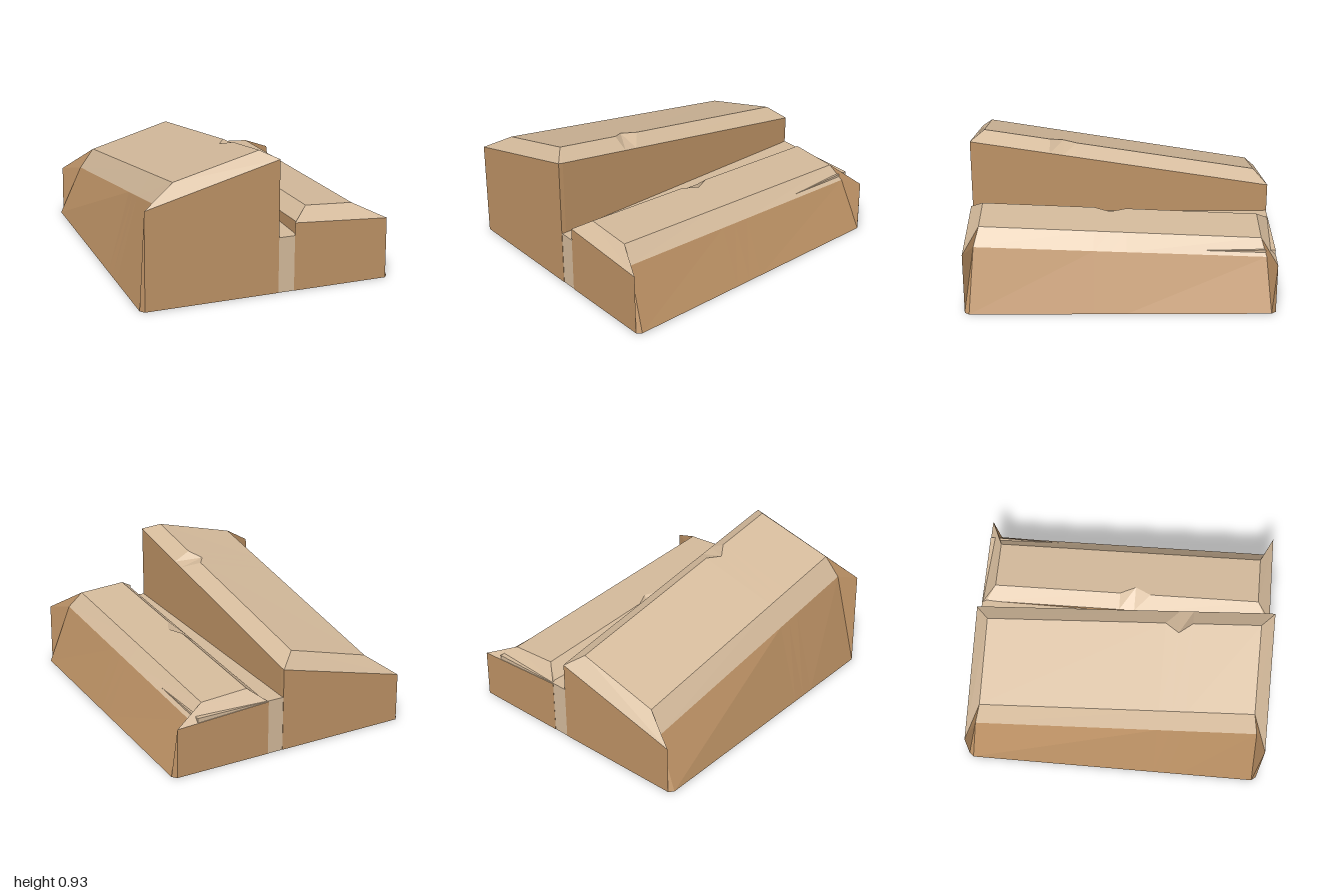
import * as THREE from 'three';

const sideMat = new THREE.MeshStandardMaterial({ name: 'brownSides', color: 0xbd9265 });
const topMat = new THREE.MeshStandardMaterial({ name: 'paleTops', color: 0xd4ba9b });
for (const m of [sideMat, topMat]) m.flatShading = true;

// value at z on a straight line given at z = s (front) and z = -s (back)
const slope = (front, back, s, z) => THREE.MathUtils.lerp(back, front, (z + s) / (2 * s));

// mesh from quads of Vector3, skipping collapsed triangles
function quadMesh(name, quads, material) {
  const pos = [];
  const tri = (a, b, c) => {
    const area = new THREE.Vector3().subVectors(b, a).cross(new THREE.Vector3().subVectors(c, a));
    if (area.length() > 1e-7) for (const p of [a, b, c]) pos.push(p.x, p.y, p.z);
  };
  for (const [a, b, c, d] of quads) { tri(a, b, c); tri(a, c, d); }
  const geo = new THREE.BufferGeometry();
  geo.setAttribute('position', new THREE.Float32BufferAttribute(pos, 3));
  geo.computeVertexNormals();
  const mesh = new THREE.Mesh(geo, material);
  mesh.name = name;
  return mesh;
}

// sloping slab: leaning outer wall, bevelled plateau, flared ends, chipped inner ridge
function slab(name, o) {
  const sg = o.side;
  const V = (x, y, z) => new THREE.Vector3(x, y, z);
  const outerY = z => slope(o.outerY[0], o.outerY[1], 1, z);
  const innerY = z => slope(o.innerY[0], o.innerY[1], 1, z);
  const ridgeOutY = z => slope(o.ridgeOutY[0], o.ridgeOutY[1], 0.91, z);
  const ridgeInY = z => slope(o.ridgeInY[0], o.ridgeInY[1], 0.91, z);

  // end section: the plateau collapses onto the top edge
  const endRing = z => {
    const ot = V(sg * 0.81, outerY(z), z), it = V(o.innerEnd, innerY(z), z);
    return [V(sg * 0.815, 0, z), ot, ot, it, it, V(o.innerEnd, 0, z)];
  };
  // body section, with separate z for floor, wall top, ridge and inner wall
  const bodyRing = (zf, zw, zr, zi, chip = 0) => {
    const t = chip / (o.ridgeOutX - o.ridgeInX);
    const py = THREE.MathUtils.lerp(ridgeInY(zr), ridgeOutY(zr), t);
    return [
      V(sg * 0.84, 0, zf), V(sg * 0.69, outerY(zw), zw), V(o.ridgeOutX, ridgeOutY(zr), zr),
      V(o.ridgeInX + chip, py, zr), V(o.innerX, innerY(zi), zi), V(o.innerX, 0, zi),
    ];
  };
  const rings = [
    endRing(1),
    bodyRing(0.97, 0.94, 0.91, 0.97),
    ...o.notch.map(([z, chip]) => bodyRing(z, z, z, z, chip)),
    bodyRing(-0.97, -0.94, -0.91, -0.97),
    endRing(-1),
  ];

  const sides = [], tops = [];
  const add = (list, q) => list.push(sg > 0 ? q : q.reverse());
  const last = rings.length - 2;
  for (let r = 0; r <= last; r++) {
    const A = rings[r], B = rings[r + 1];
    for (let i = 0; i < 6; i++) {
      const j = (i + 1) % 6;
      const isEnd = r === 0 || r === last;
      const brown = i === 0 || i === 4 || (i === 1 && isEnd);
      add(brown ? sides : tops, [A[i], B[i], B[j], A[j]]);
    }
  }
  // end walls
  const F = rings[0], K = rings[rings.length - 1];
  add(sides, [F[0], F[1], F[4], F[5]]);
  add(sides, [K[5], K[4], K[1], K[0]]);

  const g = new THREE.Group();
  g.name = name;
  g.add(quadMesh(name + 'Walls', sides, sideMat), quadMesh(name + 'Top', tops, topMat));
  return g;
}

export function createModel() {
  const model = new THREE.Group();
  model.name = 'splitRockSlabs';

  model.add(slab('tallSlab', {
    side: -1, innerEnd: 0.065, innerX: 0.068,
    outerY: [0.65, 0.33], innerY: [0.88, 0.56],
    ridgeOutX: -0.6, ridgeOutY: [0.78, 0.48],
    ridgeInX: -0.04, ridgeInY: [0.925, 0.635],
    notch: [[0.47, 0], [0.38, -0.06], [0.29, 0]],
  }));

  model.add(slab('lowSlab', {
    side: 1, innerEnd: 0.172, innerX: 0.188,
    outerY: [0.41, 0.33], innerY: [0.455, 0.365],
    ridgeOutX: 0.6, ridgeOutY: [0.51, 0.425],
    ridgeInX: 0.28, ridgeInY: [0.53, 0.445],
    notch: [[0.17, 0], [0.065, 0.05], [-0.04, 0]],
  }));

  // core block that fills the gap between the slabs
  const core = new THREE.Mesh(new THREE.BoxGeometry(1.34, 0.37, 1.996), topMat);
  core.name = 'coreBlock';
  core.position.y = 0.185;
  model.add(core);

  return model;
}
